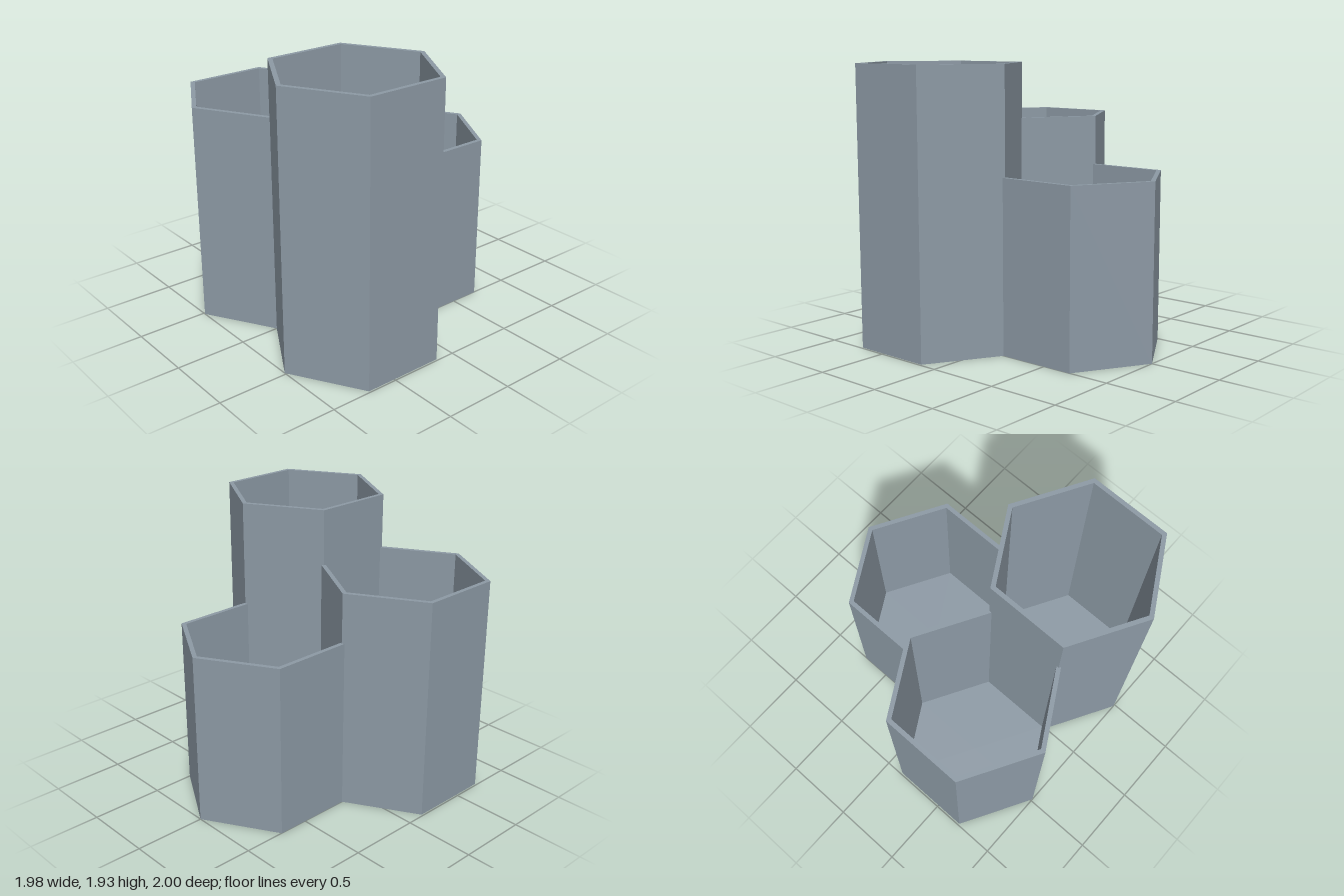
import * as THREE from 'three';

const WALL = 0.03, FLOOR = 0.03;
const APOTHEM = 0.5014;                    // centre to outer flat side
const SPACING = 2 * APOTHEM - WALL;        // neighbouring cups share one wall
const toCorner = (apothem) => apothem / Math.cos(Math.PI / 6);

// Open six-sided cup: outer wall, rim, inner wall and floor in one profile
function makeCup(name, height, x, z, material) {
  const outer = toCorner(APOTHEM), inner = toCorner(APOTHEM - WALL);
  const profile = [
    [0, 0], [outer, 0], [outer, height], [inner, height], [inner, FLOOR], [0, FLOOR],
  ].map(([r, y]) => new THREE.Vector2(r, y));
  const geometry = new THREE.LatheGeometry(profile, 6).toNonIndexed();
  geometry.computeVertexNormals();         // crisp flat faces
  const cup = new THREE.Mesh(geometry, material);
  cup.name = name;
  cup.position.set(x, 0, z);
  return cup;
}

export function createModel() {
  const group = new THREE.Group();
  group.name = 'hexagonalOrganizer';
  const slate = new THREE.MeshStandardMaterial({ color: 0x8d9aa5 });
  slate.name = 'slateGrey';

  // Three cups nested in a triangle, each a different height
  const halfX = SPACING / 2, halfZ = SPACING * Math.sqrt(3) / 4;
  group.add(
    makeCup('tallCup', 1.935, halfX, halfZ, slate),
    makeCup('mediumCup', 1.547, -halfX, halfZ, slate),
    makeCup('shortCup', 1.2, 0, -halfZ, slate),
  );
  return group;
}
